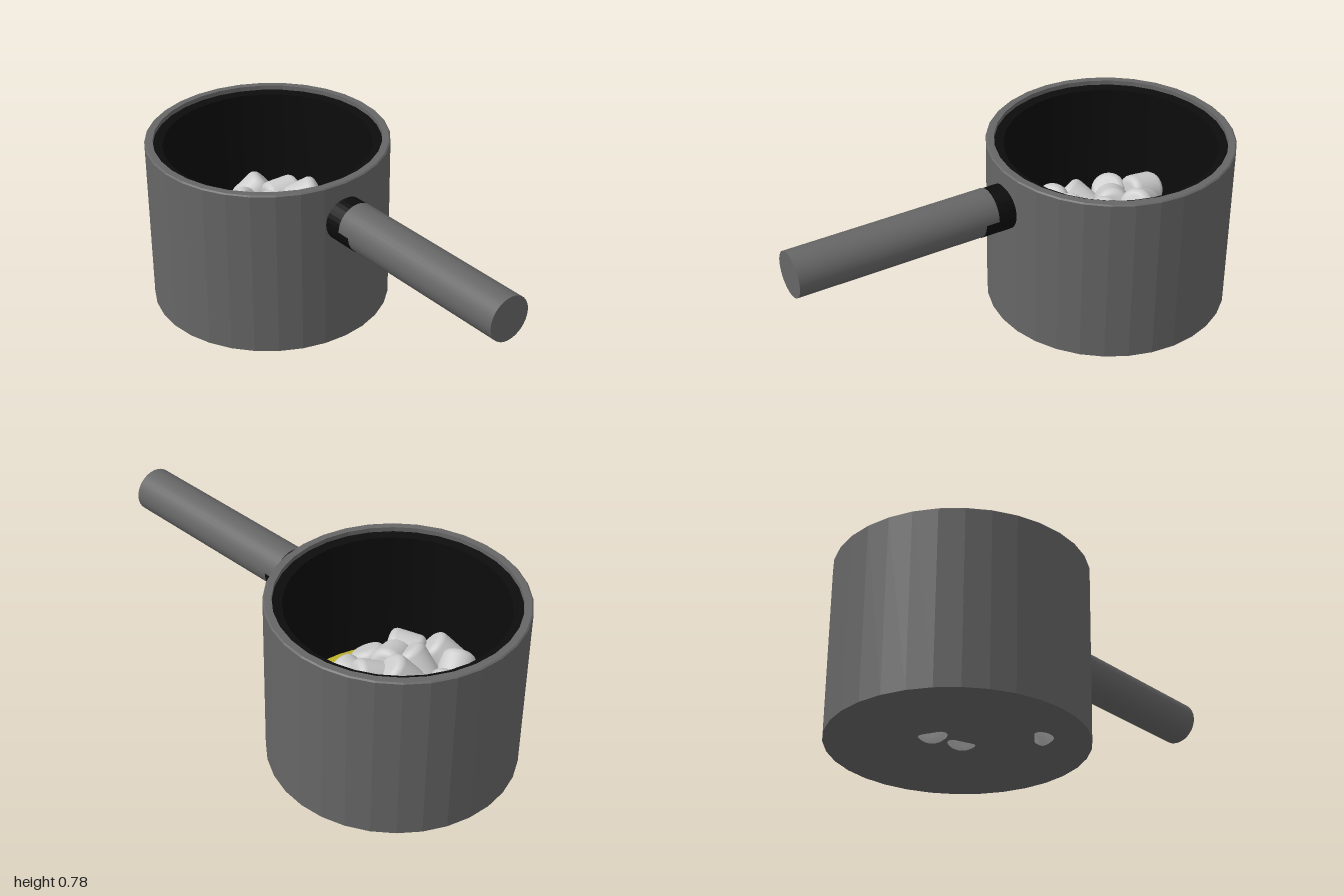
import * as THREE from 'three';

const CENTER_Z = -0.475;

function lathe(name, points, segments, material) {
  const profile = points.map(([r, y]) => new THREE.Vector2(r, y));
  const mesh = new THREE.Mesh(new THREE.LatheGeometry(profile, segments), material);
  mesh.name = name;
  return mesh;
}

// Horizontal rod running along z
function rod(name, radius, z0, z1, y, material) {
  const geometry = new THREE.CylinderGeometry(radius, radius, z1 - z0, 32).rotateX(Math.PI / 2);
  const mesh = new THREE.Mesh(geometry, material);
  mesh.position.set(0, y, (z0 + z1) / 2);
  mesh.name = name;
  return mesh;
}

// Short cylinder profile with soft, rounded ends
function marshmallowProfile(r, halfHeight, bevel) {
  const points = [[0, -halfHeight]];
  for (const end of [-1, 1]) {
    for (let i = 0; i <= 5; i++) {
      const a = (end < 0 ? i - 5 : i) / 5 * Math.PI / 2;
      points.push([r - bevel + bevel * Math.cos(a), end * (halfHeight - bevel) + bevel * Math.sin(a)]);
    }
  }
  points.push([0, halfHeight]);
  return points;
}

export function createModel() {
  const model = new THREE.Group();
  model.name = 'saucepan';
  const metal = new THREE.MeshStandardMaterial({ color: 0x666666, flatShading: true });
  const grip = new THREE.MeshStandardMaterial({ color: 0x666666 });
  const black = new THREE.MeshStandardMaterial({ color: 0x0c0c0c, flatShading: true });
  const yellow = new THREE.MeshStandardMaterial({ color: 0xbfb32a });
  const soft = new THREE.MeshStandardMaterial({ color: 0xcccccc });

  // Pot shell, closed at the bottom
  const pot = new THREE.Group();
  pot.name = 'pot';
  pot.position.z = CENTER_Z;
  pot.add(lathe('shell', [[0, 0.03], [0.525, 0.03], [0.525, 0.78], [0.519, 0.785],
    [0.49, 0.785], [0.49, 0.74]], 32, metal));

  // Dark lining, stepped just below the rim
  pot.add(lathe('lining', [[0.49, 0.765], [0.45, 0.76], [0.45, 0.07], [0, 0.07]], 32, black));

  // Liquid with a slightly rounded edge
  pot.add(lathe('liquid', [[0.449, 0.17], [0.447, 0.19], [0.435, 0.206], [0.41, 0.215],
    [0.3, 0.22], [0, 0.22]], 48, yellow));
  model.add(pot);

  // Handle and its dark joint
  model.add(rod('handle', 0.0965, 0.12, 1, 0.617, grip));
  model.add(rod('handleJoint', 0.0965, 0, 0.18, 0.614, black));

  // Marshmallows: x, y, z, tilt, heading in degrees
  const pieces = [
    [-0.21, 0.3, -0.8, 80, 5], [-0.3, 0.27, -0.69, 35, 40], [-0.32, 0.27, -0.53, 60, -60],
    [-0.35, 0.28, -0.43, 50, 30], [-0.18, 0.31, -0.62, 70, 60], [-0.19, 0.31, -0.42, 40, 10],
    [-0.13, 0.32, -0.34, 75, 110], [-0.27, 0.28, -0.29, 80, 30], [-0.12, 0.25, -0.24, 30, 0],
    [0.04, 0.29, -0.27, 75, 0], [0.17, 0.25, -0.24, 30, 20], [0.3, 0.28, -0.25, 85, 25],
    [0.29, 0.33, -0.39, 80, 75], [0.36, 0.27, -0.48, 60, -10], [0.27, 0.34, -0.58, 65, 60],
    [0.23, 0.32, -0.69, 85, 80], [0.17, 0.29, -0.83, 50, 70], [0.29, 0.25, -0.73, 40, 20],
  ];
  const heapMiddle = [
    [-0.03, 0.36, -0.67, 60, 30], [0.14, 0.35, -0.48, 40, 140], [-0.03, 0.37, -0.48, 45, 45],
    [0.05, 0.36, -0.39, 70, 60], [0.09, 0.31, -0.62, 70, 100], [0.18, 0.31, -0.37, 60, 90],
    [0.33, 0.25, -0.58, 70, 30], [-0.08, 0.3, -0.57, 70, 120], [0.15, 0.27, -0.56, 20, 0],
  ];
  // The lowest three press through the base
  const sunken = [[-0.3, 0.103, -0.3, 50, -50], [0.02, 0.1, -0.58, 55, 20], [-0.01, 0.108, -0.47, 35, 70]];

  const geometry = new THREE.LatheGeometry(
    marshmallowProfile(0.077, 0.08, 0.032).map(([r, y]) => new THREE.Vector2(Math.max(r, 0), y)), 24);
  const heap = new THREE.Group();
  heap.name = 'marshmallows';
  for (const [x, y, z, tilt, heading] of [...pieces, ...heapMiddle, ...sunken]) {
    const mesh = new THREE.Mesh(geometry, soft);
    mesh.name = 'marshmallow';
    mesh.position.set(x, y, z);
    mesh.rotation.set(THREE.MathUtils.degToRad(tilt), THREE.MathUtils.degToRad(heading), 0, 'YXZ');
    heap.add(mesh);
  }
  model.add(heap);
  return model;
}
